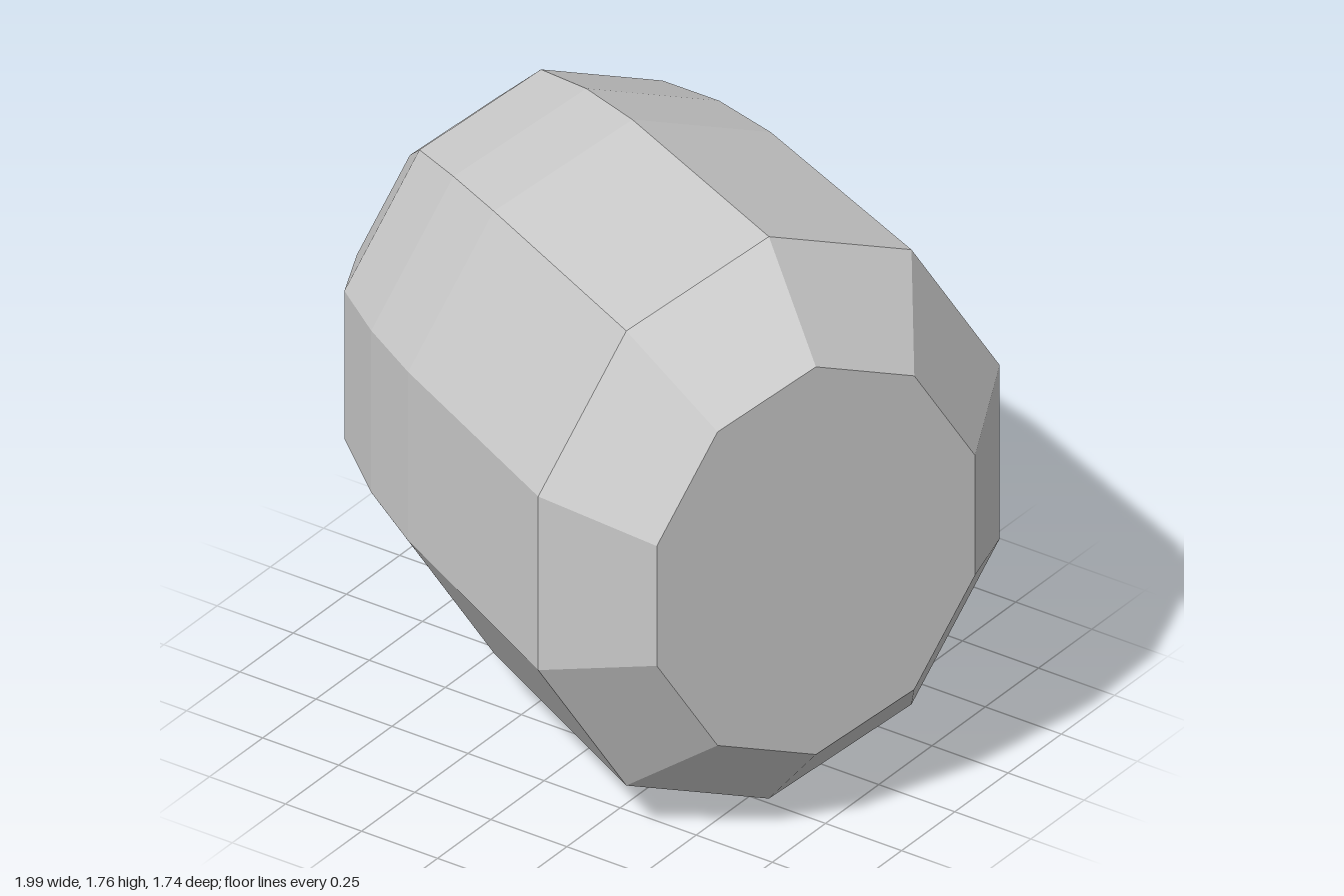
import * as THREE from 'three';

const SIDES = 10;
// [distance along the axis, vertical radius] from the back end to the front end
const PROFILE = [
  [-1.51, 0.53], [-1.26, 0.75], [-1.01, 0.82], [-0.755, 0.855], [0, 0.88], [0.26, 0.607],
];

export function createModel() {
  const group = new THREE.Group();
  group.name = 'facetedBarrel';
  const grey = new THREE.MeshStandardMaterial({ color: 0xc8c8c8 });
  grey.name = 'grey';

  // Lay the barrel along a slanted horizontal axis and narrow it sideways
  const axis = new THREE.Vector3(0.9, 0, 0.436).normalize();
  const up = new THREE.Vector3(0, 1, 0);
  const side = new THREE.Vector3().crossVectors(axis, up).multiplyScalar(0.85);
  const lay = new THREE.Matrix4().makeBasis(side, axis, up).setPosition(0.55, 0.88, 0.23);

  function addPart(name, geometry) {
    const flat = geometry.index ? geometry.toNonIndexed() : geometry;
    flat.applyMatrix4(lay);
    flat.computeVertexNormals();
    const mesh = new THREE.Mesh(flat, grey);
    mesh.name = name;
    group.add(mesh);
  }

  // Bulging faceted wall
  addPart('wall', new THREE.LatheGeometry(PROFILE.map(([t, r]) => new THREE.Vector2(r, t)), SIDES));

  // Flat end faces
  function addCap(name, [t, r], facing) {
    const cap = new THREE.CircleGeometry(r, SIDES, Math.PI / 2);
    cap.rotateX(-facing * Math.PI / 2);
    cap.translate(0, t, 0);
    addPart(name, cap);
  }
  addCap('backCap', PROFILE[0], -1);
  addCap('frontCap', PROFILE[PROFILE.length - 1], 1);

  return group;
}
